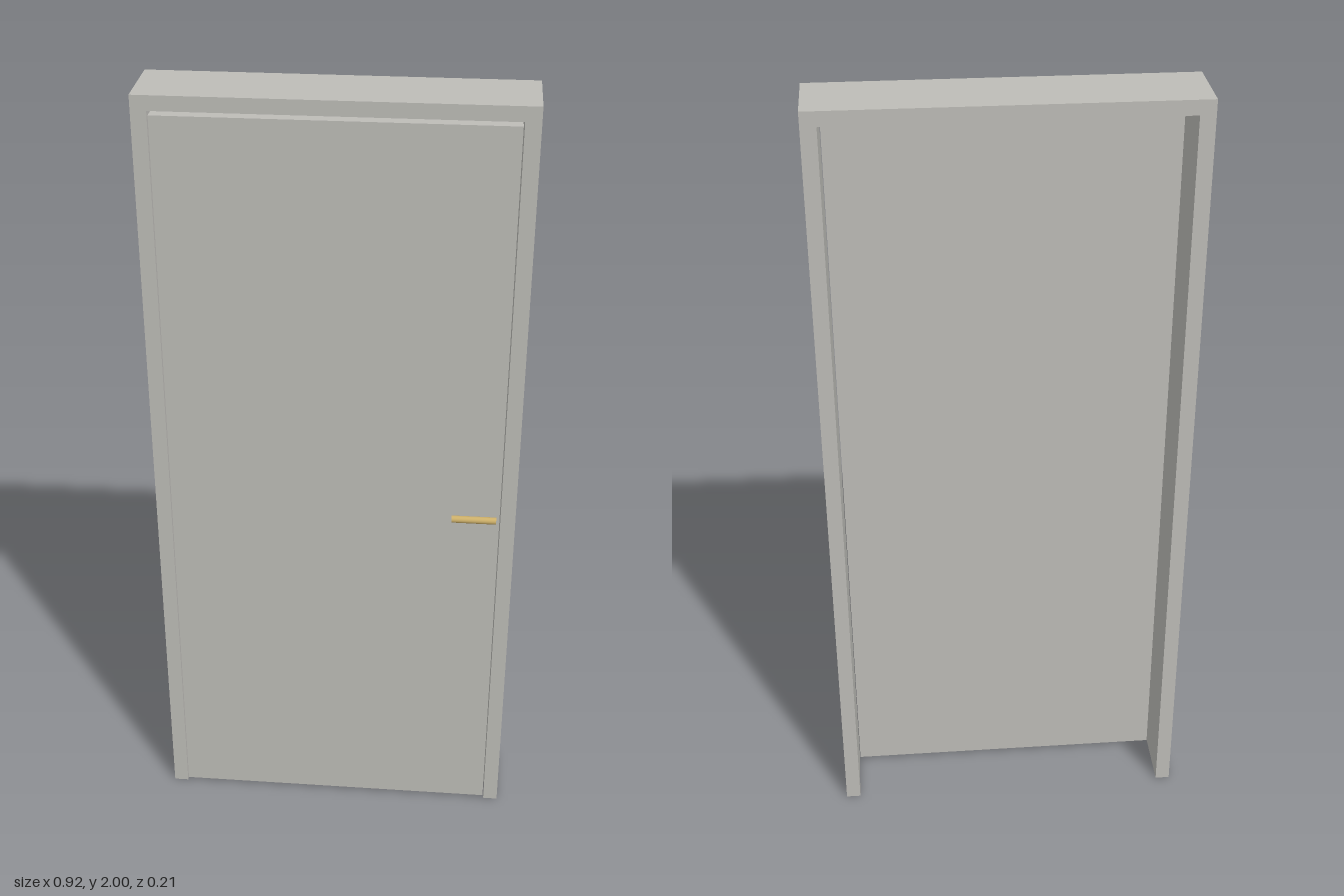
import * as THREE from 'three';

const W = 0.4575, INNER = 0.42, TOP = 2, INNER_TOP = 1.964;
const BACK = -0.107, FRONT = 0.079;

export function createModel() {
  const model = new THREE.Group();
  model.name = 'door';

  const paint = new THREE.MeshStandardMaterial({ color: 0xbdbcb7 });
  paint.name = 'warm grey paint';
  const brass = new THREE.MeshStandardMaterial({ color: 0xcdb06a });
  brass.name = 'brass';

  const add = (name, geometry, material, x, y, z) => {
    const mesh = new THREE.Mesh(geometry, material);
    mesh.name = name;
    mesh.position.set(x, y, z);
    model.add(mesh);
    return mesh;
  };

  // Frame: two jambs and a lintel in one piece, open at the floor
  const outline = new THREE.Shape([
    [-W, 0], [-INNER, 0], [-INNER, INNER_TOP], [INNER, INNER_TOP],
    [INNER, 0], [W, 0], [W, TOP], [-W, TOP],
  ].map(([x, y]) => new THREE.Vector2(x, y)));
  const frame = new THREE.ExtrudeGeometry(outline, { depth: FRONT - BACK, bevelEnabled: false });
  add('frame', frame, paint, 0, 0, BACK);

  // Door leaf: flush with the front, with a small gap all round
  const bottom = 0.0093, top = 1.954, thickness = 0.037;
  add('doorLeaf', new THREE.BoxGeometry(0.835, top - bottom, thickness), paint,
    0, (top + bottom) / 2, FRONT - thickness / 2);

  // Handle: a plain round bar just in front of the leaf
  const handle = add('handle', new THREE.CylinderGeometry(0.009, 0.009, 0.112, 24), brass,
    0.353, 0.938, 0.0975);
  handle.rotation.z = Math.PI / 2;

  return model;
}
